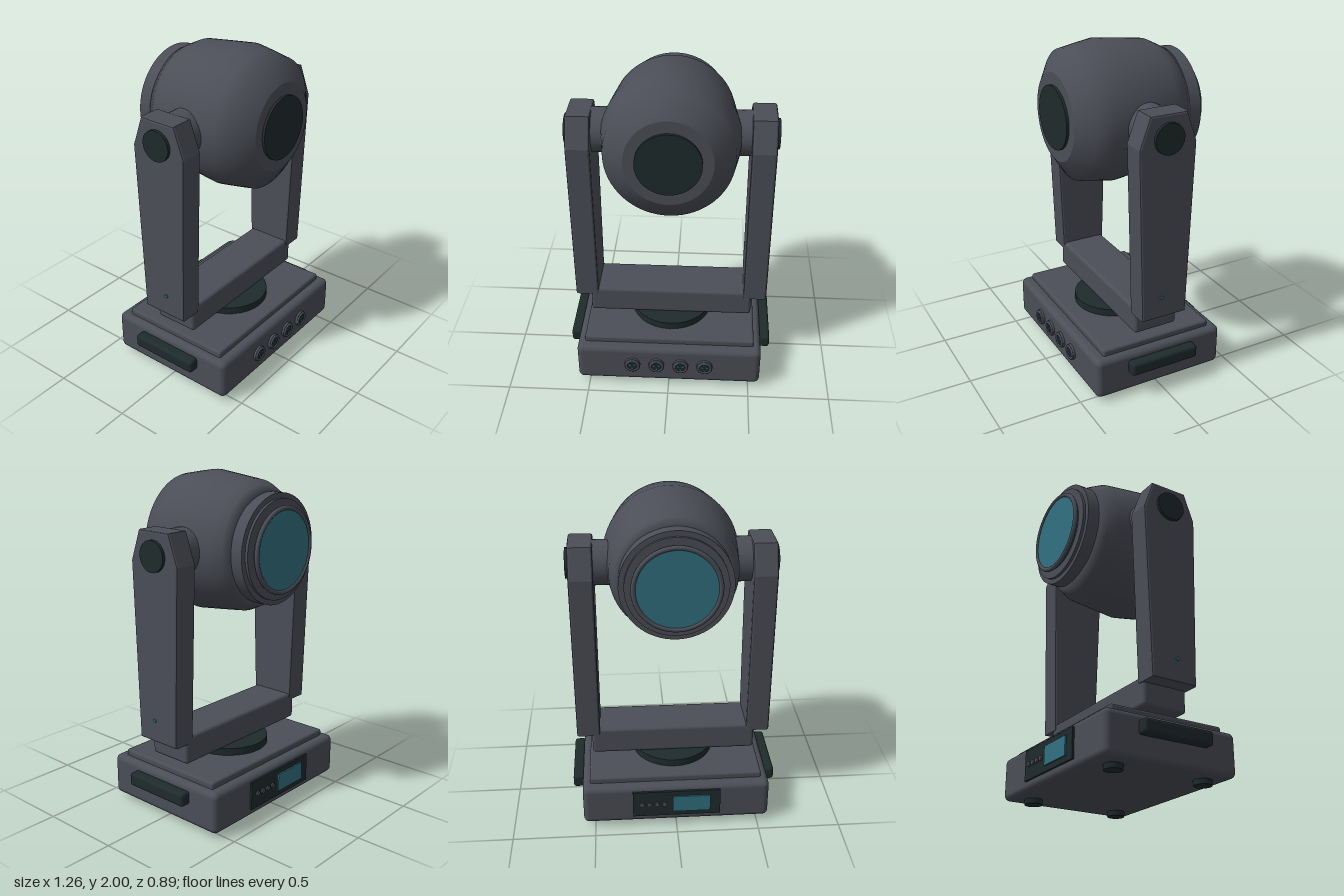
import * as THREE from 'three';
import { RoundedBoxGeometry } from 'three/addons/geometries/RoundedBoxGeometry.js';

const mat = (name, color) => {
  const m = new THREE.MeshStandardMaterial({ color });
  m.name = name;
  return m;
};

export function createModel() {
  const grey = mat('housing grey', 0x4b4e57);
  const dark = mat('dark trim', 0x1f2b2c);
  const teal = mat('teal glass', 0x327080);
  const root = new THREE.Group();
  root.name = 'movingHeadLight';

  const add = (name, geo, material, x = 0, y = 0, z = 0, parent = root) => {
    const m = new THREE.Mesh(geo, material);
    m.name = name;
    m.position.set(x, y, z);
    parent.add(m);
    return m;
  };
  const box = (w, h, d, r) => new RoundedBoxGeometry(w, h, d, 3, r);
  const cyl = (r0, r1, h, n = 32) => new THREE.CylinderGeometry(r0, r1, h, n);
  const discZ = (r, h, n) => cyl(r, r, h, n).rotateX(Math.PI / 2);
  const discX = (r, h, n) => cyl(r, r, h, n).rotateZ(Math.PI / 2);

  // Base housing, top plate and turntable
  add('baseHousing', box(1.14, 0.255, 0.84, 0.035), grey, 0, 0.1575, 0);
  add('baseTopPlate', box(1.05, 0.06, 0.715, 0.014), grey, 0, 0.292, 0);
  add('turntable', cyl(0.26, 0.26, 0.05).scale(0.955, 1, 1), dark, 0, 0.342, 0);

  // Feet and side handles
  for (const x of [-1, 1]) {
    for (const z of [-1, 1]) add('foot', cyl(0.055, 0.052, 0.045, 20), dark, x * 0.435, 0.0225, z * 0.285);
    add('sideHandle', box(0.07, 0.082, 0.44, 0.018), dark, x * 0.597, 0.203, 0);
  }

  // Front sockets with three pins each
  for (const x of [-0.225, -0.075, 0.075, 0.225]) {
    const socket = new THREE.Group();
    socket.name = 'socket';
    socket.position.set(x, 0.163, 0.42);
    root.add(socket);
    add('socketFlange', discZ(0.049, 0.016), grey, 0, 0, 0.006, socket);
    add('socketRim', new THREE.TorusGeometry(0.038, 0.008, 8, 32), grey, 0, 0, 0.016, socket);
    add('socketFace', discZ(0.034, 0.008), dark, 0, 0, 0.014, socket);
    for (let i = 0; i < 3; i++) {
      const a = Math.PI * (0.5 + i * 2 / 3) + Math.PI;
      add('pin', discZ(0.006, 0.006, 10), teal, 0.017 * Math.cos(a), 0.017 * Math.sin(a), 0.02, socket);
    }
  }

  // Rear control panel
  add('controlPanel', new THREE.BoxGeometry(0.535, 0.175, 0.016), dark, 0, 0.168, -0.424);
  add('display', new THREE.BoxGeometry(0.23, 0.11, 0.009), teal, -0.09, 0.168, -0.4365);
  for (let i = 0; i < 4; i++) {
    add('button', discZ(0.015, 0.01, 16), grey, 0.075 + i * 0.046, 0.168, -0.437);
  }

  // Yoke cross bar
  add('yokeBar', box(1.01, 0.17, 0.28, 0.02), grey, 0, 0.445, 0);

  // Yoke arms: tapered outline with a chamfered top
  const b = 0.012;
  const outline = [[0.145, 0.49], [0.178, 1.54], [0.118, 1.72]];
  const inset = outline.map(([z, y], i) => [z - b, i === 0 ? y + b : i === 2 ? y - b : y]);
  const armShape = new THREE.Shape(
    [...inset, ...inset.slice().reverse().map(([z, y]) => [-z, y])].map(p => new THREE.Vector2(...p)));
  const armGeo = new THREE.ExtrudeGeometry(armShape, {
    depth: 0.143 - 2 * b, bevelEnabled: true, bevelThickness: b, bevelSize: b, bevelSegments: 2,
  }).center().rotateY(Math.PI / 2);
  for (const s of [-1, 1]) {
    add('yokeArm', armGeo, grey, s * 0.5265, 1.105, 0);
    add('pivotCap', discX(0.09, 0.03), dark, s * 0.601, 1.585, 0);
    add('statusLight', discX(0.011, 0.012, 12), teal, s * 0.6, 0.623, 0.02);
    add('pivotHub', discX(0.132, 0.14), grey, s * 0.395, 1.585, 0);
  }

  // Head shell, turned around the front-to-back axis
  const head = new THREE.Group();
  head.name = 'head';
  head.position.y = 1.585;
  root.add(head);
  const profile = [[0, -0.315], [0.32, -0.315], [0.35, -0.26], [0.38, -0.2], [0.398, -0.05],
    [0.415, 0.1], [0.398, 0.205], [0.38, 0.305], [0.257, 0.385]].map(p => new THREE.Vector2(...p));
  add('headShell', new THREE.LatheGeometry(profile, 64).rotateX(Math.PI / 2).scale(0.965, 1, 1), grey, 0, 0, 0, head);
  add('headFrontFace', new THREE.CircleGeometry(0.257, 64).scale(0.965, 1, 1), grey, 0, 0, 0.385, head);
  add('headFrontCap', discZ(0.186, 0.025, 48), dark, 0, 0, 0.388, head);

  // Lens barrel, step, rim and glass
  add('lensBarrel', discZ(0.318, 0.075, 64), grey, 0, 0, -0.348, head);
  add('lensStep', discZ(0.287, 0.025, 64), grey, 0, 0, -0.39, head);
  add('lensRim', new THREE.TorusGeometry(0.238, 0.014, 10, 64), grey, 0, 0, -0.427, head);
  add('lensGlass', discZ(0.232, 0.03, 64), teal, 0, 0, -0.417, head);

  return root;
}
